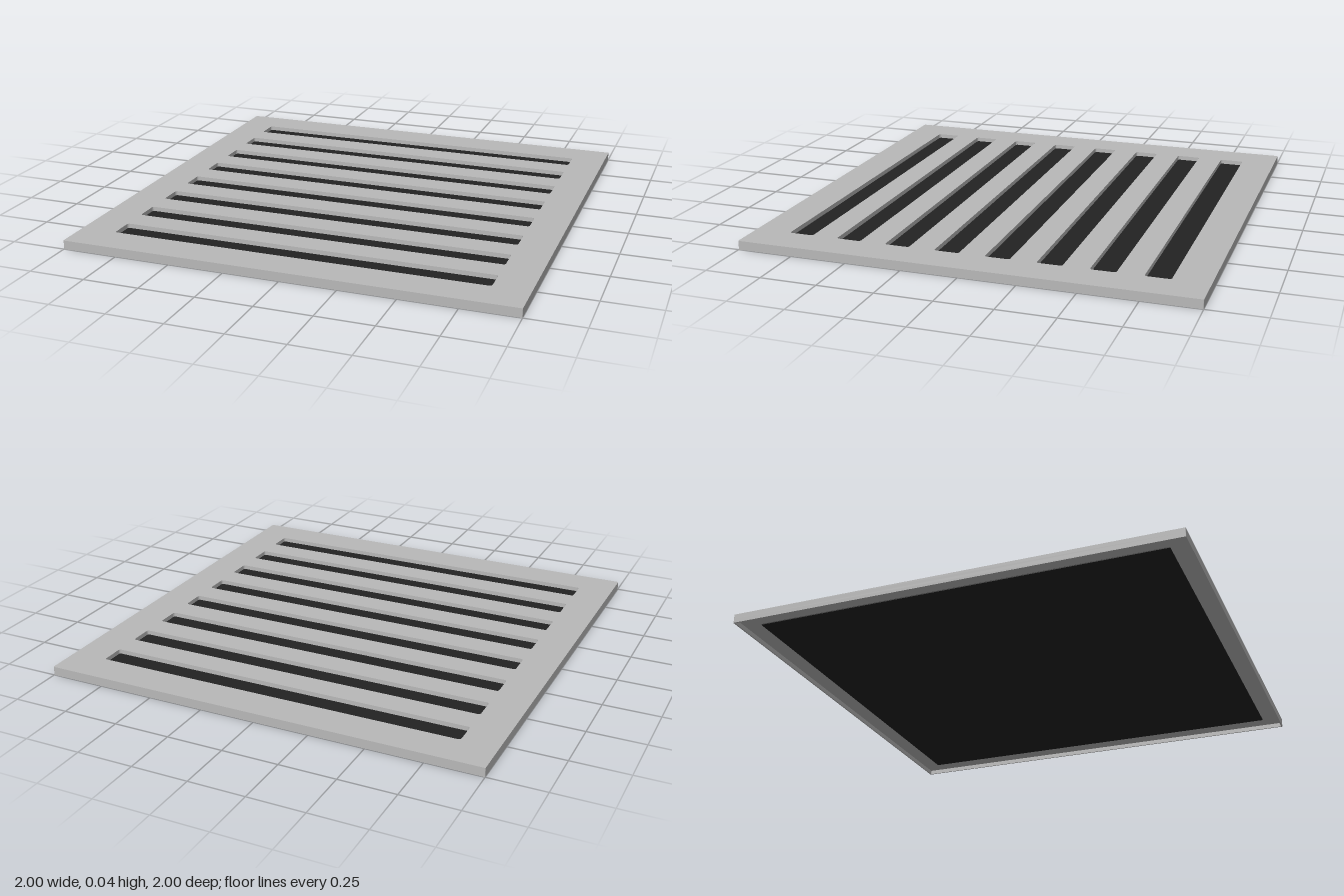
import * as THREE from 'three';

// Rectangle outline with small rounded corners, centred on (x, y)
function roundedRect(path, x, y, hw, hh, r) {
  path.moveTo(x - hw + r, y - hh);
  path.lineTo(x + hw - r, y - hh);
  path.quadraticCurveTo(x + hw, y - hh, x + hw, y - hh + r);
  path.lineTo(x + hw, y + hh - r);
  path.quadraticCurveTo(x + hw, y + hh, x + hw - r, y + hh);
  path.lineTo(x - hw + r, y + hh);
  path.quadraticCurveTo(x - hw, y + hh, x - hw, y + hh - r);
  path.lineTo(x - hw, y - hh + r);
  path.quadraticCurveTo(x - hw, y - hh, x - hw + r, y - hh);
  return path;
}

// Lay a flat shape down and give it height from y0 to y1
function slab(shape, y0, y1) {
  const geo = new THREE.ExtrudeGeometry(shape, { depth: y1 - y0, bevelEnabled: false, curveSegments: 4 });
  return geo.rotateX(-Math.PI / 2).translate(0, y0, 0);
}

export function createModel() {
  const metal = new THREE.MeshStandardMaterial({ color: 0xb8b8b8 });
  metal.name = 'brushed grey metal';
  const dark = new THREE.MeshStandardMaterial({ color: 0x222222 });
  dark.name = 'dark backing';

  const group = new THREE.Group();
  group.name = 'ventGrille';
  const add = (name, geo, mat) => {
    const mesh = new THREE.Mesh(geo, mat);
    mesh.name = name;
    group.add(mesh);
  };

  // Face plate with eight long slots
  const face = roundedRect(new THREE.Shape(), 0, 0, 1, 1, 0.004);
  for (let i = 0; i < 8; i++) {
    face.holes.push(roundedRect(new THREE.Path(), 0, (i - 3.5) * 0.2245, 0.84, 0.055, 0.012));
  }
  add('slottedFacePlate', slab(face, 0.02, 0.04), metal);

  // Thin skirt folded down around the edge
  const skirt = roundedRect(new THREE.Shape(), 0, 0, 1, 1, 0.004);
  skirt.holes.push(roundedRect(new THREE.Path(), 0, 0, 0.994, 0.994, 0.002));
  add('edgeSkirt', slab(skirt, 0, 0.02), metal);

  // Dark sheet closing the slots from behind
  add('backingSheet', new THREE.BoxGeometry(1.83, 0.004, 1.83).translate(0, 0.018, 0), dark);

  return group;
}
